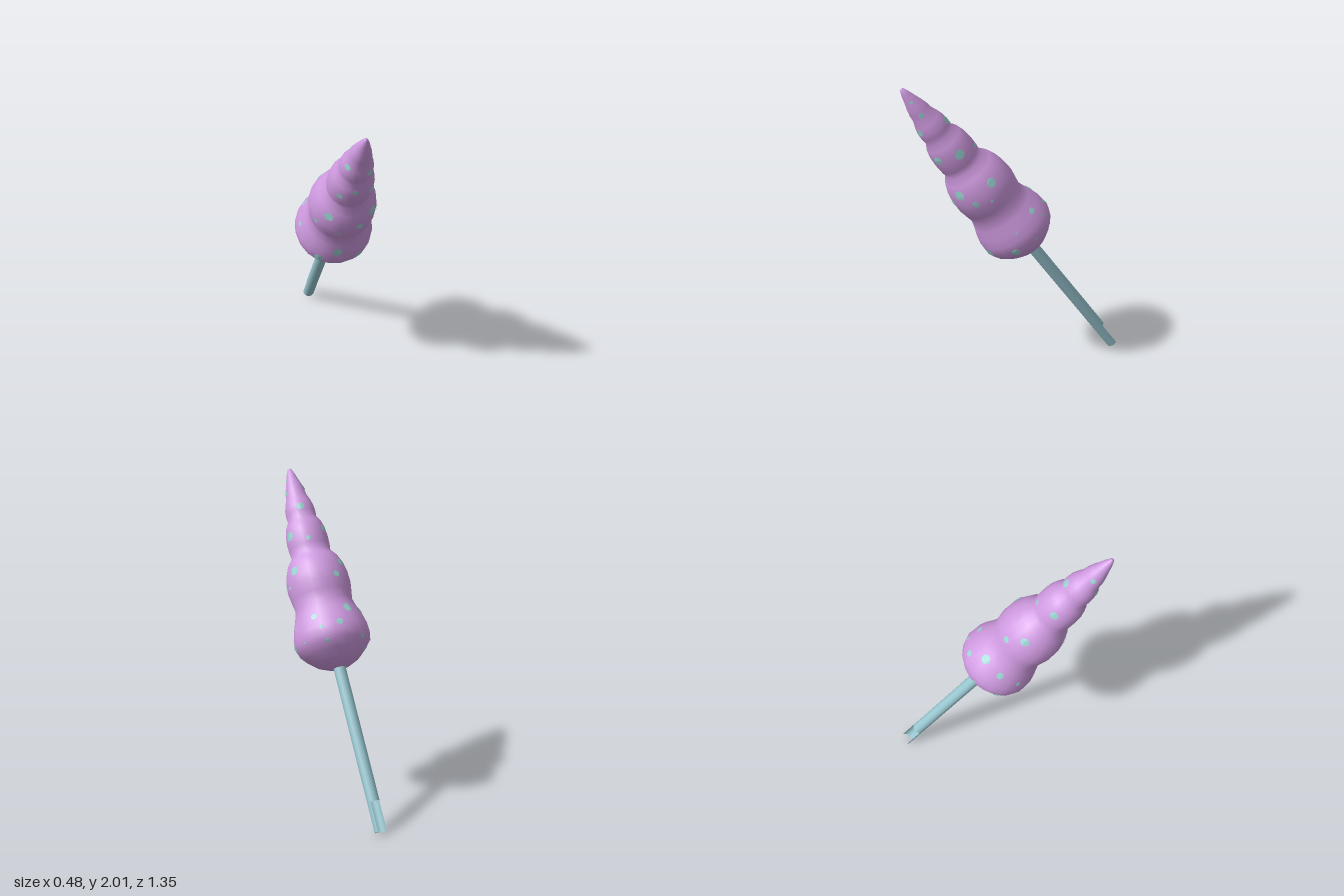
import * as THREE from 'three';
import { mergeGeometries } from 'three/addons/utils/BufferGeometryUtils.js';

const SIDES = 20;
const rad = THREE.MathUtils.degToRad;

// Outline of the lobed cone: [radius, distance along the axis]
const PROFILE = [
  [0, 1.015], [0.07, 1.028], [0.135, 1.06], [0.19, 1.11], [0.225, 1.155], [0.238, 1.2], [0.235, 1.25],
  [0.22, 1.31], [0.198, 1.37], [0.181, 1.43], [0.191, 1.49], [0.2, 1.55], [0.197, 1.61],
  [0.184, 1.67], [0.16, 1.73], [0.126, 1.775], [0.131, 1.82], [0.133, 1.87], [0.128, 1.93],
  [0.115, 1.98], [0.093, 2.02], [0.096, 2.06], [0.093, 2.1], [0.082, 2.14], [0.067, 2.18],
  [0.062, 2.22], [0.052, 2.26], [0.039, 2.3], [0.026, 2.345], [0.012, 2.38], [0, 2.386],
];

// Spots: [distance along the axis, angle from the front towards +x, radius]
const SPOTS = [
  [2.21, 90, 0.016], [2.3, 90, 0.009], [2.12, 36, 0.02], [1.9, 105, 0.03], [1.93, 45, 0.026],
  [1.653, 114, 0.028], [1.683, 48, 0.03], [1.6, 68, 0.02], [1.566, 94, 0.01], [1.32, 135, 0.02],
  [1.298, 92, 0.008], [1.19, 73, 0.027], [1.218, 27, 0.03], [1.183, 110, 0.007], [1.239, 144, 0.012],
  [1.15, 148, 0.012], [1.69, -46, 0.027], [1.228, -36, 0.03], [1.32, -10, 0.028], [1.575, -17, 0.012],
  [1.63, 16, 0.022], [1.575, -64, 0.016], [1.906, -44, 0.02], [1.97, -7, 0.015], [2.15, -62, 0.02],
  [1.34, -165, 0.028], [1.247, 172, 0.02], [1.33, -129, 0.022], [1.565, -168, 0.02],
  [1.656, -144, 0.026], [1.91, -142, 0.025], [1.847, 160, 0.015], [2.08, 160, 0.024],
  [2.23, -132, 0.016], [1.165, -110, 0.016], [1.31, -92, 0.015], [1.1, -125, 0.013], [1.1, -78, 0.02],
  [1.15, -150, 0.014],
];

// Radius of the faceted cone at a height and angle
function coneRadius(t, angle) {
  let i = 1;
  while (i < PROFILE.length - 1 && PROFILE[i][1] < t) i++;
  const [r0, t0] = PROFILE[i - 1], [r1, t1] = PROFILE[i];
  const r = THREE.MathUtils.lerp(r0, r1, (t - t0) / (t1 - t0));
  const step = (2 * Math.PI) / SIDES;
  const local = THREE.MathUtils.euclideanModulo(angle, step) - step / 2;
  return (r * Math.cos(step / 2)) / Math.cos(local);
}

// Disc wrapped onto the cone, just above its surface
function spotGeometry([t, degrees, size]) {
  const geometry = new THREE.RingGeometry(0.0001, size, 12, 4);
  const p = geometry.attributes.position;
  const centre = rad(degrees), middle = coneRadius(t, centre);
  for (let i = 0; i < p.count; i++) {
    const a = centre + p.getX(i) / middle, h = t + p.getY(i);
    const r = coneRadius(h, a) + 0.004;
    p.setXYZ(i, r * Math.sin(a), h, r * Math.cos(a));
  }
  geometry.computeVertexNormals();
  return geometry;
}

export function createModel() {
  const model = new THREE.Group();
  model.name = 'spottedConeOnStick';
  const material = (name, color) => {
    const m = new THREE.MeshStandardMaterial({ color });
    m.name = name;
    return m;
  };
  const lilac = material('lilac', 0xcf9ae0);
  const aqua = material('aqua', 0x98d3d0);
  const paleBlue = material('paleBlue', 0x9ac8d2);
  paleBlue.side = THREE.DoubleSide;

  // Everything shares one axis, leaning forward
  const leaning = new THREE.Group();
  leaning.name = 'leaningAxis';
  leaning.position.set(0, 0.02, -0.645);
  leaning.rotation.x = 0.588;
  model.add(leaning);
  const add = (name, geometry, mat) => {
    const mesh = new THREE.Mesh(geometry, mat);
    mesh.name = name;
    leaning.add(mesh);
  };

  // Lobed cone and its spots
  add('lobedCone', new THREE.LatheGeometry(PROFILE.map(([r, t]) => new THREE.Vector2(r, t)), SIDES), lilac);
  add('spots', mergeGeometries(SPOTS.map(spotGeometry)), aqua);

  // Hollow stick, with its lower end cut open on the upper side
  const notch = 0.18, top = 1.08, radius = 0.038;
  const tube = (from, to, start, sweep) =>
    new THREE.CylinderGeometry(radius, radius, to - from, 16, 1, true, rad(start), rad(sweep))
      .translate(0, (from + to) / 2, 0);
  add('stick', tube(notch, top, 0, 360), paleBlue);
  add('scoopEnd', tube(0, notch, 265, 223), paleBlue);

  return model;
}
